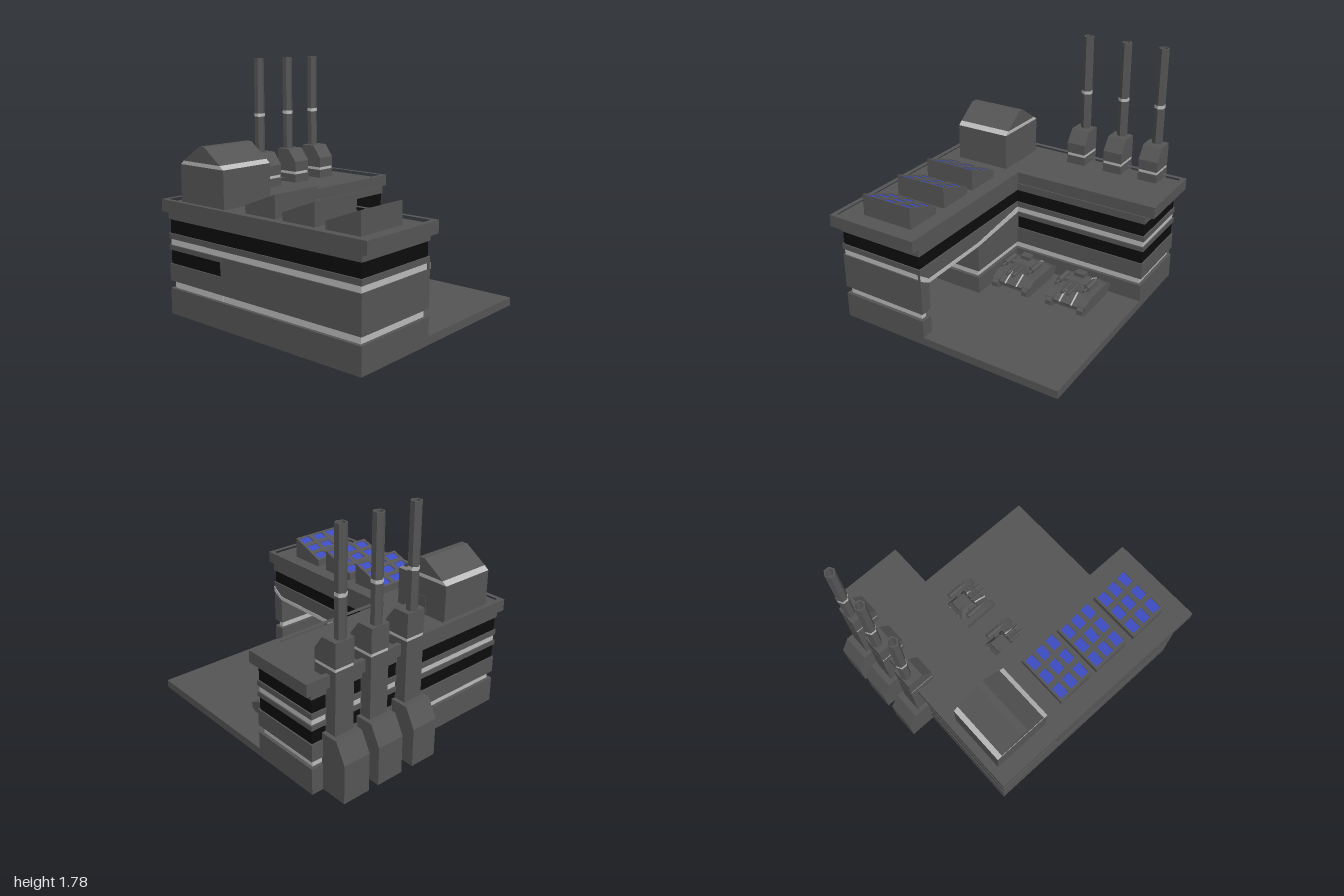
import * as THREE from 'three';

const mat = (color) => new THREE.MeshStandardMaterial({ color, flatShading: true });
const DARK = mat(0x555555), LIGHT = mat(0xbbbbbb), BLACK = mat(0x0c0c0c), BLUE = mat(0x3c4cc0);

function add(parent, name, geometry, material) {
  const m = new THREE.Mesh(geometry, material);
  m.name = name;
  parent.add(m);
  return m;
}

const toShape = (pts) => new THREE.Shape(pts.map(([a, b]) => new THREE.Vector2(a, b)));

// Footprint of [x, z] points raised from y0 to y1
function plan(pts, y0, y1, hole) {
  const flip = (p) => p.map(([x, z]) => [x, -z]);
  const s = toShape(flip(pts));
  if (hole) s.holes.push(toShape(flip(hole)));
  return new THREE.ExtrudeGeometry(s, { depth: y1 - y0, bevelEnabled: false })
    .rotateX(-Math.PI / 2).translate(0, y0, 0);
}

// Side profile of [z, y] points stretched from x0 to x1
function profile(pts, x0, x1) {
  return new THREE.ExtrudeGeometry(toShape(pts.map(([z, y]) => [-z, y])), { depth: x1 - x0, bevelEnabled: false })
    .rotateY(Math.PI / 2).translate(x0, 0, 0);
}

function box(x0, x1, y0, y1, z0, z1) {
  return new THREE.BoxGeometry(x1 - x0, y1 - y0, z1 - z0)
    .translate((x0 + x1) / 2, (y0 + y1) / 2, (z0 + z1) / 2);
}

// L-shaped roof outline, inset by d
const roofL = (d) => [[-0.91 + d, -0.83 + d], [0.91 - d, -0.83 + d], [0.91 - d, -0.26 - d],
  [-0.2 - d, -0.26 - d], [-0.2 - d, 1 - d], [-0.91 + d, 1 - d]];

// Left wing outline, inset by d, with an optional vehicle bay open to the yard
function wing(d, bay) {
  const x0 = -0.88 + d, x1 = -0.2 - d, z1 = 0.94 - d;
  const notch = bay ? [[x1, 0.28 - d], [-0.66 - d, 0.28 - d], [-0.66 - d, 0.85 + d], [x1, 0.85 + d]] : [];
  return [[x0, -0.27], [x1, -0.27], ...notch, [x1, z1], [x0, z1]];
}

function building() {
  const g = new THREE.Group();
  g.name = 'building';
  add(g, 'groundSlab', box(-0.88, 0.85, 0, 0.06, -0.8, 0.94), DARK);
  // Storeys of the back wing: bottom, top, inset, material
  const back = [[0.06, 0.19, 0, DARK], [0.19, 0.245, 0.025, LIGHT], [0.245, 0.37, 0, DARK],
    [0.37, 0.47, 0.01, BLACK], [0.47, 0.505, 0, DARK], [0.505, 0.55, 0.01, LIGHT],
    [0.55, 0.59, 0, DARK], [0.59, 0.69, 0.01, BLACK], [0.69, 0.745, 0, DARK]];
  for (const [a, b, d, m] of back)
    add(g, 'backWingLayer', box(-0.88 + d, 0.85 - d, a, b, -0.8 + d, -0.25 - d), m);
  // Storeys of the left wing, the lower ones cut by the bay
  const left = [[0.06, 0.19, 0, DARK, true], [0.19, 0.245, 0.025, LIGHT, true], [0.245, 0.455, 0, DARK, true],
    [0.455, 0.505, 0, DARK], [0.505, 0.55, 0.01, LIGHT], [0.55, 0.59, 0, DARK],
    [0.59, 0.69, 0.01, BLACK], [0.69, 0.745, 0, DARK]];
  for (const [a, b, d, m, bay] of left)
    add(g, 'leftWingLayer', plan(wing(d, bay), a, b), m);
  // Yard wall facing with the dipping light stripe
  add(g, 'yardWallPanel', box(-0.22, -0.2, 0.5, 0.56, -0.25, 0.94), DARK);
  add(g, 'yardStripe', profile([[0.94, 0.505], [0.85, 0.455], [0.28, 0.455], [-0.25, 0.505],
    [-0.25, 0.55], [0.28, 0.485], [0.85, 0.485], [0.94, 0.55]], -0.205, -0.196), LIGHT);
  // Roof with parapet
  add(g, 'roof', plan(roofL(0), 0.745, 0.8), DARK);
  add(g, 'parapet', plan(roofL(0), 0.8, 0.832, roofL(0.035)), DARK);
  return g;
}

function roofHouse() {
  const g = new THREE.Group();
  g.name = 'roofHouse';
  add(g, 'houseWalls', box(-0.785, -0.35, 0.8, 1.07, -0.765, -0.325), DARK);
  add(g, 'houseEave', profile([[-0.325, 1.07], [-0.36, 1.097], [-0.73, 1.097], [-0.765, 1.07]], -0.785, -0.35), LIGHT);
  add(g, 'houseRoof', profile([[-0.36, 1.097], [-0.51, 1.21], [-0.56, 1.21], [-0.73, 1.097]], -0.785, -0.35), DARK);
  add(g, 'houseDoor', box(-0.36, -0.346, 0.8, 0.935, -0.59, -0.49), DARK);
  return g;
}

function solarPanel(z0) {
  const g = new THREE.Group();
  g.name = 'solarPanel';
  const depth = 0.275, z1 = z0 + depth;
  const y = (z) => 0.855 + ((z - z0) / depth) * 0.105;
  // Slanted strip between two depths, its faces offset from the slope
  const strip = (a, b, lo, hi, x0, x1) =>
    profile([[a, y(a) + lo], [b, y(b) + lo], [b, y(b) + hi], [a, y(a) + hi]], x0, x1);
  add(g, 'panelWedge', profile([[z0, 0.8], [z1, 0.8], [z1, 0.948], [z0, 0.843]], -0.755, -0.35), DARK);
  const cols = [-0.735, -0.6, -0.465], rows = [0.015, 0.107, 0.2];
  for (const x of cols) for (const r of rows)
    add(g, 'solarCell', strip(z0 + r, z0 + r + 0.062, -0.02, -0.006, x, x + 0.095), BLUE);
  for (const [a, b] of [[-0.755, -0.735], [-0.64, -0.6], [-0.505, -0.465], [-0.37, -0.35]])
    add(g, 'panelFrame', strip(z0, z1, -0.02, 0, a, b), DARK);
  for (const [a, b] of [[0, 0.015], [0.077, 0.107], [0.169, 0.2], [0.262, depth]])
    add(g, 'panelFrame', strip(z0 + a, z0 + b, -0.02, 0, -0.754, -0.351), DARK);
  return g;
}

function chimney(x) {
  const g = new THREE.Group();
  g.name = 'chimney';
  g.position.x = x;
  add(g, 'chimneyFoot', profile([[-0.79, 0], [-1, 0], [-1, 0.28], [-0.925, 0.42], [-0.79, 0.42]], -0.105, 0.105), DARK);
  add(g, 'chimneyColumn', box(-0.075, 0.075, 0.42, 0.865, -0.88, -0.79), DARK);
  add(g, 'chimneyHeadBase', box(-0.075, 0.075, 0.8, 0.865, -0.88, -0.69), DARK);
  add(g, 'chimneyHeadBand', box(-0.072, 0.072, 0.865, 0.887, -0.877, -0.693), LIGHT);
  add(g, 'chimneyHead', profile([[-0.69, 0.887], [-0.69, 0.965], [-0.76, 1.06], [-0.88, 1.06], [-0.88, 0.887]], -0.075, 0.075), DARK);
  // Open six-sided stack
  const v = (r, h) => new THREE.Vector2(r, h);
  const stack = new THREE.LatheGeometry([v(0.039, 1.05), v(0.039, 1.78), v(0.028, 1.78), v(0.028, 1.6), v(0, 1.6)], 6);
  add(g, 'stack', stack, DARK).position.z = -0.84;
  add(g, 'stackRing', new THREE.CylinderGeometry(0.041, 0.041, 0.025, 6), LIGHT).position.set(0, 1.347, -0.84);
  return g;
}

function vehicle(x) {
  const g = new THREE.Group();
  g.name = 'trackedVehicle';
  g.position.x = x;
  add(g, 'hull', profile([[0.12, 0.085], [-0.22, 0.085], [-0.235, 0.15], [-0.18, 0.175], [0.06, 0.175], [0.15, 0.125]], -0.115, 0.115), DARK);
  for (const s of [-1, 1]) {
    const at = (a, b) => (s > 0 ? [a, b] : [-b, -a]);
    add(g, 'track', profile([[0.14, 0.06], [-0.2, 0.06], [-0.25, 0.095], [-0.25, 0.135], [-0.19, 0.15], [0.13, 0.15], [0.175, 0.12], [0.175, 0.085]], ...at(0.105, 0.15)), DARK);
    add(g, 'trackGuard', profile([[0.15, 0.118], [-0.24, 0.118], [-0.24, 0.14], [-0.18, 0.17], [0.08, 0.17], [0.15, 0.14]], ...at(0.1, 0.16)), DARK);
    // Light stripes along the hull
    add(g, 'hullStripe', profile([[0.152, 0.125], [0.06, 0.178], [-0.18, 0.178], [-0.238, 0.152], [-0.238, 0.1], [-0.2, 0.1], [0.12, 0.1]], ...at(0.042, 0.054)), LIGHT);
    // Six-sided launcher pods and twin guns
    const tube = (name, r, len, px, py, pz) => {
      const m = add(g, name, new THREE.CylinderGeometry(r, r, len, 6).rotateX(Math.PI / 2), DARK);
      m.position.set(s * px, py, pz);
    };
    tube('pod', 0.023, 0.13, 0.112, 0.225, -0.02);
    tube('podBarrel', 0.011, 0.05, 0.112, 0.225, 0.065);
    tube('gun', 0.009, 0.16, 0.025, 0.215, 0.085);
    tube('gunMuzzle', 0.014, 0.04, 0.025, 0.215, 0.135);
    add(g, 'podArm', box(...at(0.05, 0.1), 0.205, 0.225, -0.04, 0), DARK);
  }
  // Tapered turret with a hatch
  const turret = new THREE.CylinderGeometry(0.075, 0.13, 0.07, 4).rotateY(Math.PI / 4);
  add(g, 'turret', turret, DARK).position.set(0, 0.205, -0.04);
  add(g, 'hatch', box(-0.04, 0.04, 0.235, 0.268, -0.11, -0.05), DARK);
  add(g, 'bowPlate', box(-0.1, 0.1, 0.09, 0.115, 0.1, 0.14), DARK);
  return g;
}

export function createModel() {
  const model = new THREE.Group();
  model.name = 'factory';
  model.add(building(), roofHouse());
  for (const z of [-0.15, 0.19, 0.555]) model.add(solarPanel(z));
  for (const x of [0.055, 0.365, 0.655]) model.add(chimney(x));
  for (const x of [-0.008, 0.452]) model.add(vehicle(x));
  return model;
}
